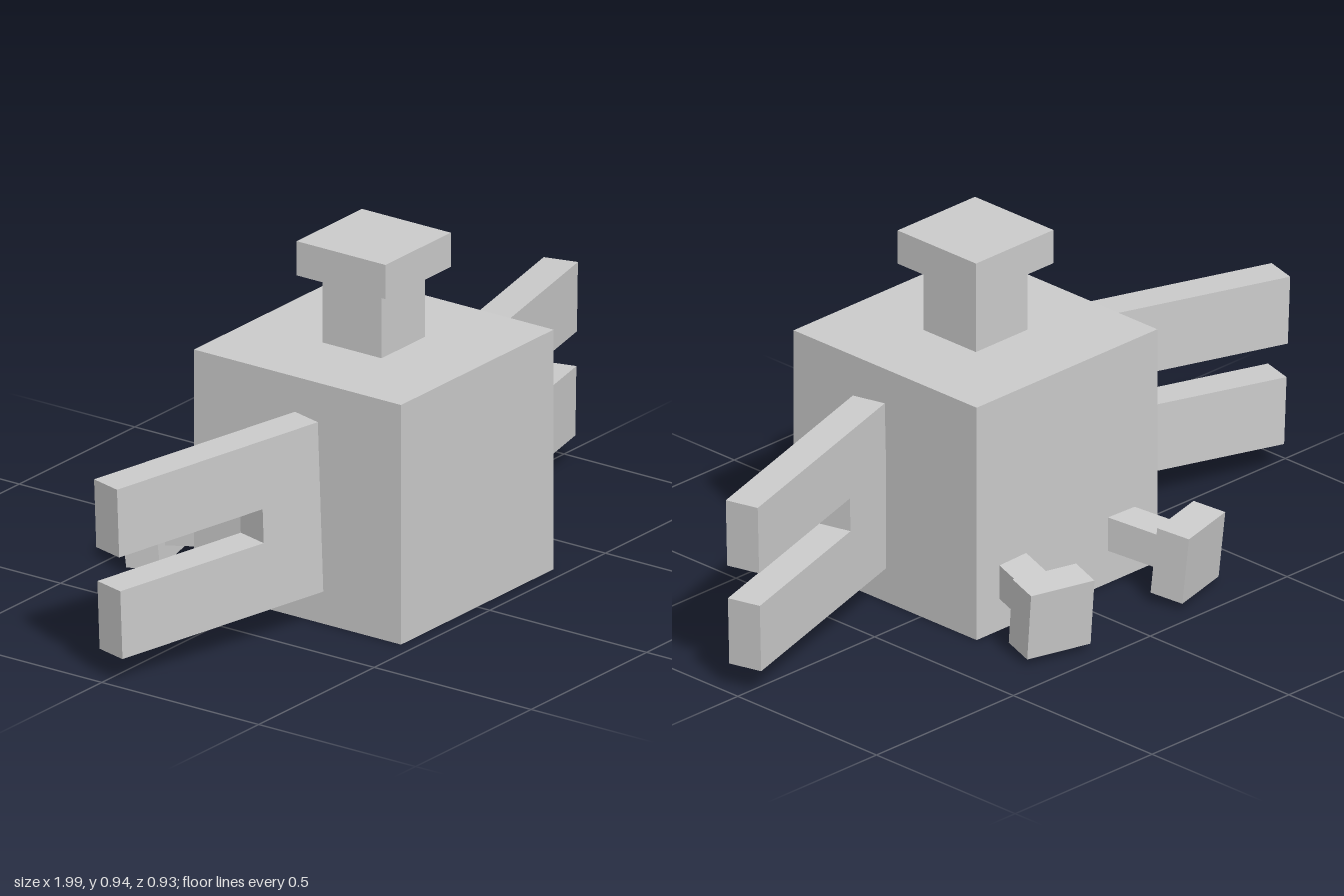
import * as THREE from 'three';

const U = 0.0943; // every block is a whole number of these units
const rad = THREE.MathUtils.degToRad;
const material = new THREE.MeshStandardMaterial({ color: 0xcccccc, flatShading: true });

function mesh(name, geometry, x, y, z) {
  const m = new THREE.Mesh(geometry, material);
  m.name = name;
  m.position.set(x, y, z);
  return m;
}

// Box sized in units, centred at the given position
const block = (name, w, h, d, x, y, z) =>
  mesh(name, new THREE.BoxGeometry(w * U, h * U, d * U), x, y, z);

// Forked wing: origin at its inner, upper, front corner
function createWing() {
  const wing = new THREE.Group();
  const outline = [[0, 0], [7, 0], [7, -2], [2, -2], [2, -3], [7, -3], [7, -5], [0, -5]];
  const shape = new THREE.Shape(outline.map(([x, y]) => new THREE.Vector2(x * U, y * U)));
  const slab = new THREE.ExtrudeGeometry(shape, { depth: U, bevelEnabled: false });
  wing.add(mesh('wingFork', slab, 0, 0, -U));
  // Strip hanging below the root, facing the body
  const strip = new THREE.PlaneGeometry(U, 0.07).rotateY(-Math.PI / 2);
  wing.add(mesh('wingRootStrip', strip, 0, -5 * U - 0.035, -U / 2));
  wing.position.set(0.36, 0.566, 0.217);
  wing.rotation.set(0, rad(15), rad(-2.2), 'YXZ');
  return wing;
}

// Foot: short leg with a wider block at its end, angled out and down
function createFoot() {
  const foot = new THREE.Group();
  foot.add(block('leg', 1, 1, 2, 0, 0, -0.057));
  foot.add(block('footPad', 2, 2, 1, 0, 0, -0.198));
  foot.position.set(0.198, 0.138, -0.2);
  foot.rotation.set(rad(-6), rad(-15), 0, 'YXZ');
  return foot;
}

export function createModel() {
  const model = new THREE.Group();
  model.name = 'blockCreature';

  model.add(block('body', 7, 7, 7, 0, 3.5 * U, 0.13));
  model.add(block('neck', 2, 2, 2, 0, 8 * U, 0.13));
  model.add(block('topCap', 3, 1, 3, 0, 9.5 * U, 0.13));

  // Mirrored limbs
  for (const [side, s] of [['left', 1], ['right', -1]]) {
    const limbs = new THREE.Group();
    limbs.name = side + 'Limbs';
    const wing = createWing();
    wing.name = side + 'Wing';
    const foot = createFoot();
    foot.name = side + 'Foot';
    limbs.add(wing, foot);
    limbs.scale.x = s;
    model.add(limbs);
  }
  return model;
}
